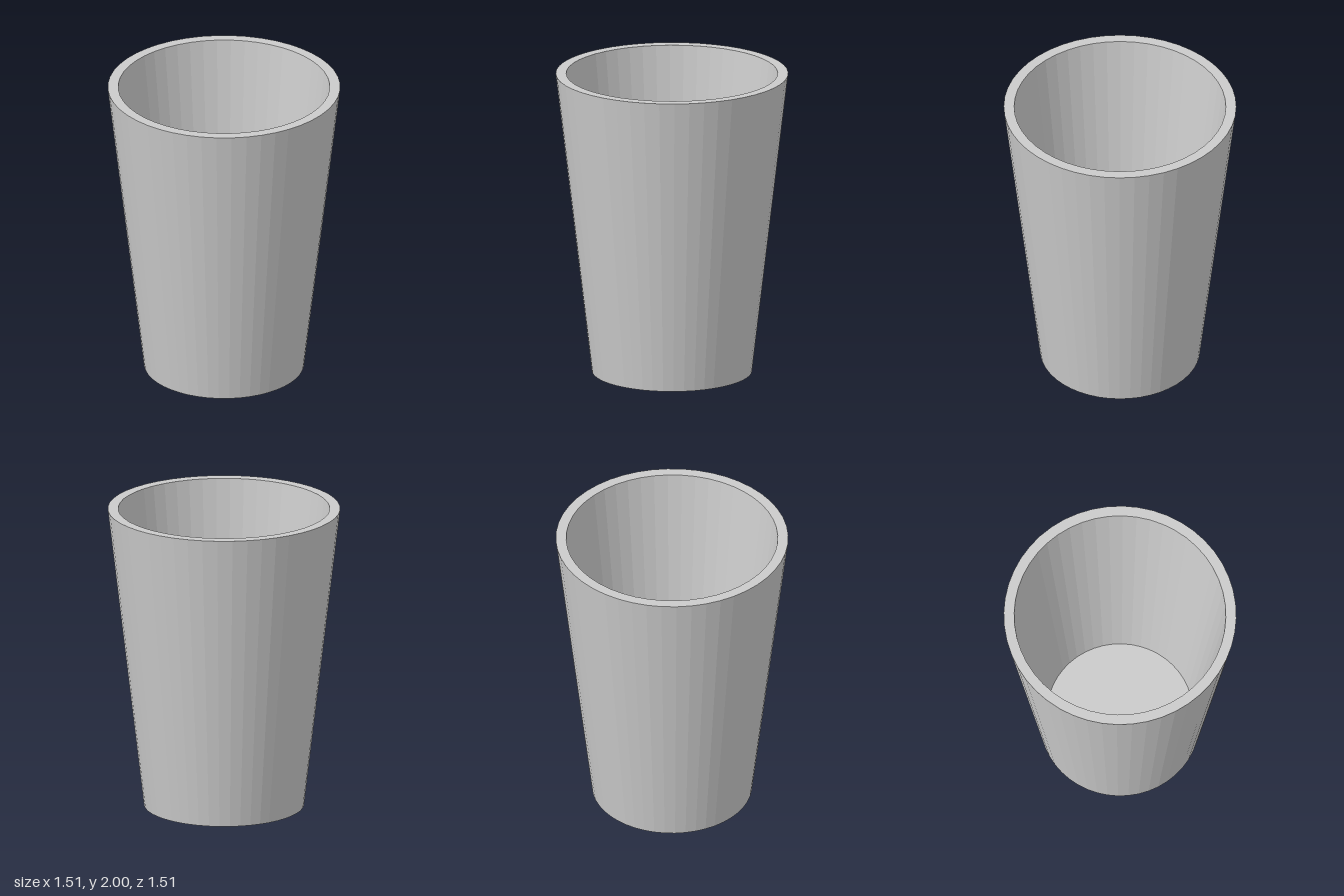
import * as THREE from 'three';

export function createModel() {
  const group = new THREE.Group();
  group.name = 'tumbler';

  // Closed wall section: base, outer wall, flat rim, inner wall, thick floor
  const profile = [
    [0, 0], [0.52, 0], [0.755, 2], [0.687, 2], [0.473, 0.16], [0, 0.16],
  ].map(([r, y]) => new THREE.Vector2(r, y));

  const cup = new THREE.Mesh(
    new THREE.LatheGeometry(profile, 48),
    new THREE.MeshStandardMaterial({ color: 0xcccccc, flatShading: true })
  );
  cup.name = 'cup';
  group.add(cup);
  return group;
}
